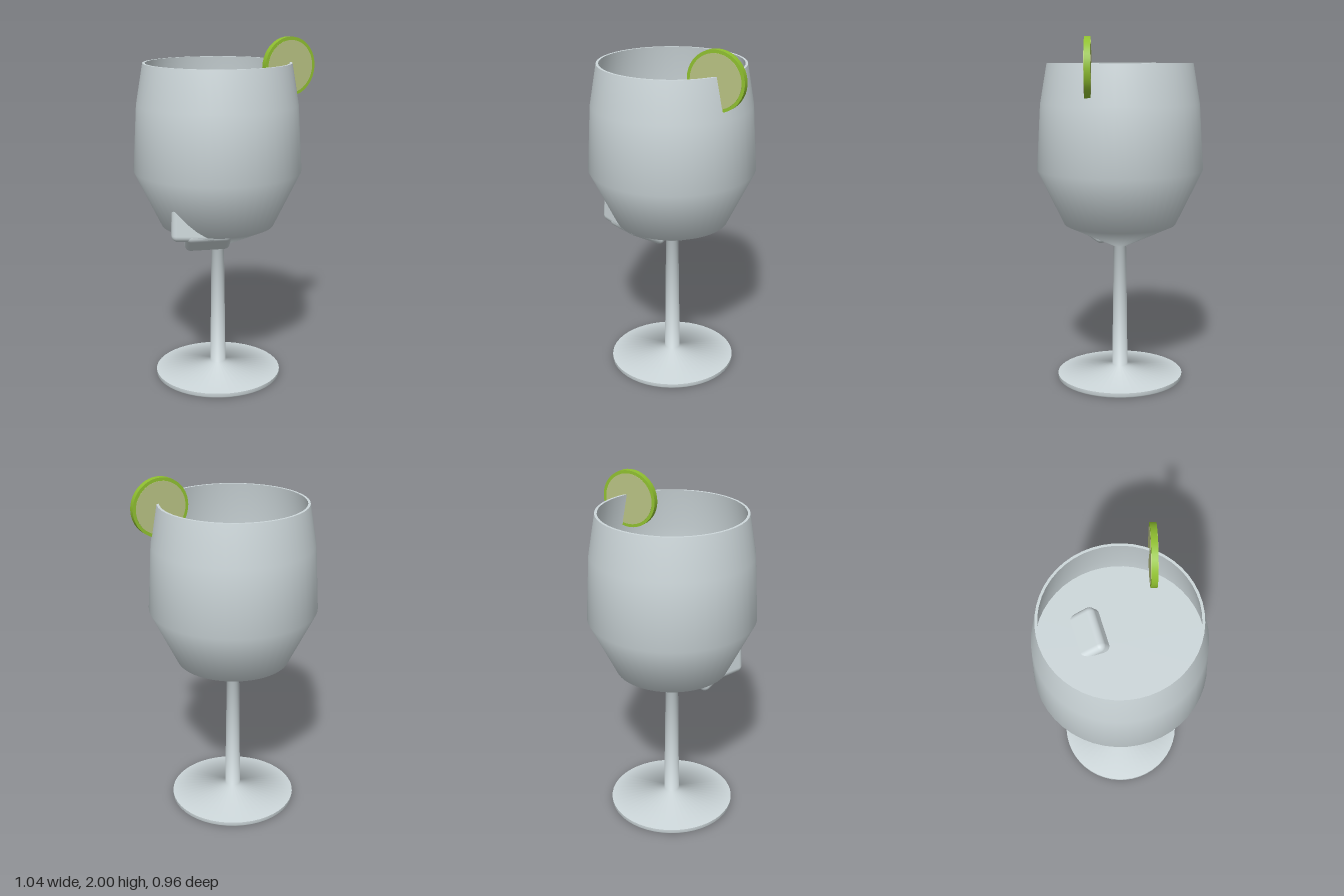
import * as THREE from 'three';
import { RoundedBoxGeometry } from 'three/addons/geometries/RoundedBoxGeometry.js';

const material = (name, color) => {
  const m = new THREE.MeshStandardMaterial({ color });
  m.name = name;
  return m;
};

export function createModel() {
  const glassMat = material('clear glass', 0xcdd7da);
  const rindMat = material('lime rind', 0x8fbf30);
  const pulpMat = material('lime pulp', 0xb8c283);
  const model = new THREE.Group();
  model.name = 'stemmedGlassWithLime';

  const add = (parent, name, geometry, mat) => {
    const mesh = new THREE.Mesh(geometry, mat);
    mesh.name = name;
    parent.add(mesh);
    return mesh;
  };
  const lathe = (points) =>
    new THREE.LatheGeometry(points.map(([r, y]) => new THREE.Vector2(r, y)), 48);

  // Glass: each run is smooth, with sharp edges between runs
  const glass = new THREE.Group();
  glass.name = 'glass';
  glass.position.x = -0.04;
  model.add(glass);
  add(glass, 'footUnderside', lathe([[0, 0], [0.365, 0]]), glassMat);
  add(glass, 'footEdge', lathe([[0.365, 0], [0.371, 0.008], [0.371, 0.028]]), glassMat);
  add(glass, 'footStemAndBowl', lathe([
    [0.371, 0.028], [0.046, 0.075], [0.037, 0.8],
    [0.325, 0.935], [0.48, 1.255], [0.457, 1.63], [0.417, 1.86],
  ]), glassMat);
  add(glass, 'rim', lathe([[0.417, 1.86], [0.403, 1.86]]), glassMat);
  add(glass, 'bowlInside', lathe([
    [0.403, 1.86], [0.443, 1.63], [0.466, 1.255], [0.313, 0.945], [0, 0.815],
  ]), glassMat);

  // Drink surface
  const drink = add(glass, 'drinkSurface', new THREE.CircleGeometry(0.446, 48), glassMat);
  drink.rotation.x = -Math.PI / 2;
  drink.position.y = 1.55;

  // Ice: one cube breaking the surface, two resting at the bottom
  const ice = new RoundedBoxGeometry(0.26, 0.26, 0.26, 4, 0.035);
  const cubes = [
    ['floatingIce', [-0.06, 1.44, -0.175], -0.52, 0.733, 0],
    ['lowerIceLeft', [-0.18, 1.033, 0.183], -0.04, 0, -0.02],
    ['lowerIceFront', [-0.11, 0.972, 0.15], -0.52, 0, 0.04],
  ];
  for (const [name, position, tilt, yaw, roll] of cubes) {
    const cube = add(model, name, ice, glassMat);
    cube.position.set(...position);
    cube.rotation.set(tilt, yaw, roll, 'YXZ');
  }

  // Lime slice straddling the rim
  const lime = new THREE.Group();
  lime.name = 'limeSlice';
  lime.position.set(0.36, 1.835, 0);
  lime.rotation.y = 0.464;
  model.add(lime);
  const disc = (radius, depth) =>
    new THREE.CylinderGeometry(radius, radius, depth, 40).rotateX(Math.PI / 2);
  add(lime, 'rind', disc(0.165, 0.034), rindMat);
  add(lime, 'pulp', disc(0.147, 0.038), pulpMat);

  return model;
}
